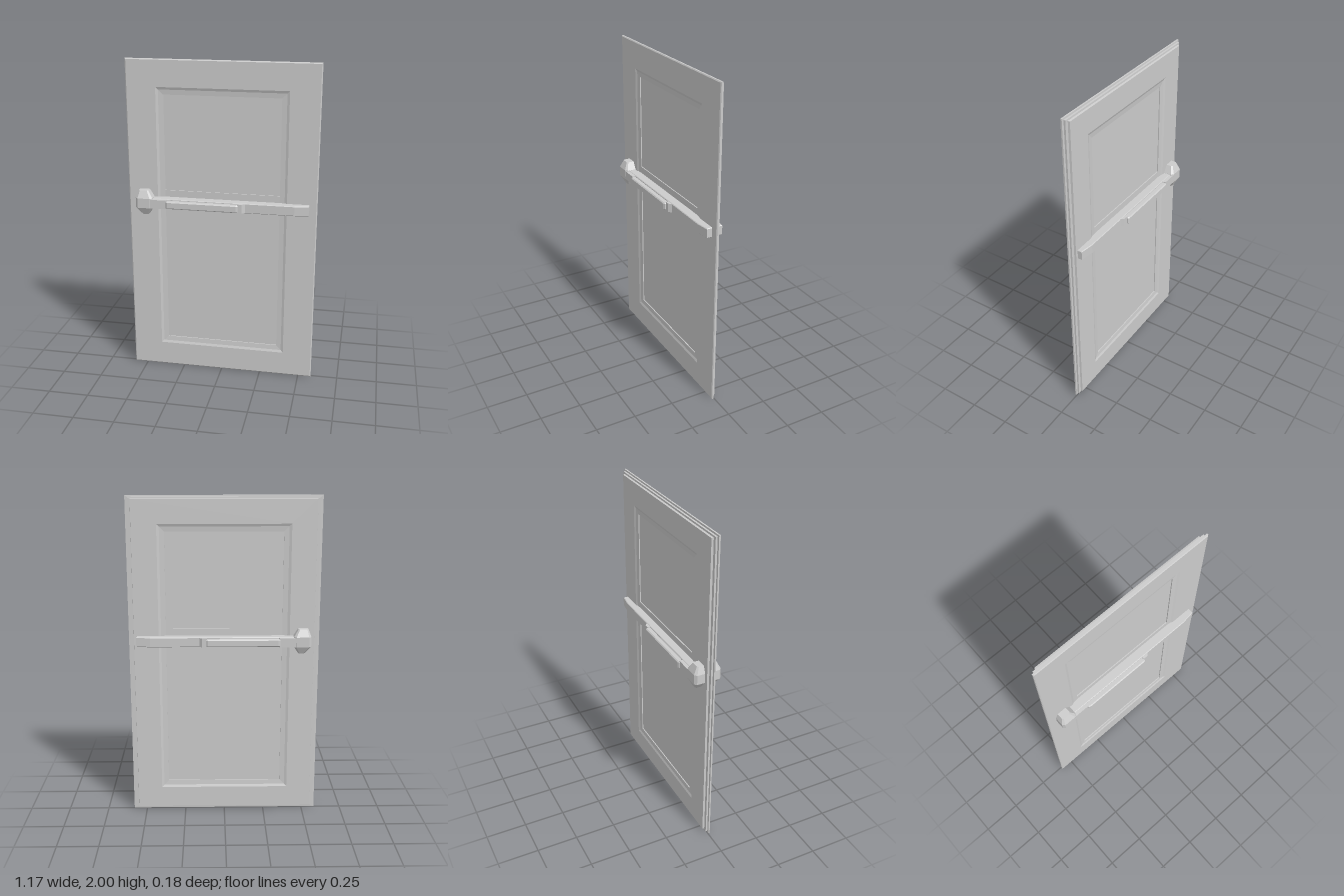
import * as THREE from 'three';

const material = new THREE.MeshStandardMaterial({ color: 0xcccccc, flatShading: true });

function add(group, name, geometry) {
  const mesh = new THREE.Mesh(geometry, material);
  mesh.name = name;
  group.add(mesh);
  return mesh;
}

// Skin a row of equal-length loops, each counter-clockwise seen from the first one
function loft(loops) {
  const pos = [];
  for (let k = 0; k < loops.length - 1; k++) {
    const p = loops[k], q = loops[k + 1], n = p.length;
    for (let i = 0; i < n; i++) {
      const j = (i + 1) % n;
      pos.push(...p[i], ...q[i], ...q[j], ...p[i], ...q[j], ...p[j]);
    }
  }
  const g = new THREE.BufferGeometry();
  g.setAttribute('position', new THREE.Float32BufferAttribute(pos, 3));
  g.computeVertexNormals();
  return g;
}

// Upright rectangle: half width, bottom, top, depth
const rect = ([w, b, t, z]) => [[-w, b, z], [w, b, z], [w, t, z], [-w, t, z]];

// Level rectangle with cut corners: height, x range, half depth, cut
function level([y, x0, x1, d, c]) {
  return [[x0, y, d - c], [x0 + c, y, d], [x1 - c, y, d], [x1, y, d - c],
    [x1, y, c - d], [x1 - c, y, -d], [x0 + c, y, -d], [x0, y, c - d]];
}

// Solid from levels, closed at top and bottom; listed from the top down
function solid(levels) {
  const loops = levels.map(level);
  const cap = ([y, x0, x1]) => Array(8).fill([(x0 + x1) / 2, y, 0]);
  return loft([cap(levels[0]), ...loops, cap(levels[levels.length - 1])]);
}

// Prism along y from an outline of [x, half depth] points, mirrored front to back
function prism(points, y0, y1, bevel) {
  const outline = [...points, ...points.slice().reverse().map(([x, d]) => [x, -d])];
  const shape = new THREE.Shape(outline.map(([x, z]) => new THREE.Vector2(x, z)));
  const g = new THREE.ExtrudeGeometry(shape, {
    depth: y1 - y0 - 2 * bevel, bevelEnabled: bevel > 0, bevelSegments: 1,
    bevelSize: bevel, bevelThickness: bevel, bevelOffset: -bevel,
  });
  g.rotateX(-Math.PI / 2);
  g.translate(0, y0 + bevel, 0);
  return g;
}

export function createModel() {
  const model = new THREE.Group();
  model.name = 'door';

  // Door frame: moulded opening, flat face, stepped rebate towards the back
  add(model, 'doorFrame', loft([
    [0.355, 0.2, 1.79, -0.003], [0.355, 0.2, 1.79, 0.007],
    [0.385, 0.17, 1.82, 0.01], [0.4, 0.155, 1.835, 0.016],
    [0.577, 0.006, 1.994, 0.016], [0.583, 0, 2, 0.012],
    [0.583, 0, 2, 0.003], [0.57, 0.01, 1.99, 0.002],
    [0.57, 0.01, 1.99, -0.009], [0.552, 0.02, 1.98, -0.01],
    [0.55, 0.022, 1.978, -0.022], [0.4, 0.155, 1.835, -0.022],
    [0.385, 0.17, 1.82, -0.016], [0.355, 0.2, 1.79, -0.013],
    [0.355, 0.2, 1.79, -0.003],
  ].map(rect)));

  // Rail between the two panes
  const rail = add(model, 'middleRail', new THREE.BoxGeometry(0.72, 0.16, 0.02));
  rail.position.set(0, 1.12, -0.003);

  // Panes
  for (const [name, b, t] of [['lowerPane', 0.19, 1.05], ['upperPane', 1.19, 1.8]]) {
    const pane = add(model, name, new THREE.BoxGeometry(0.73, t - b, 0.008));
    pane.position.set(0, (b + t) / 2, -0.003);
  }

  // Push bar: every part runs through the door and shows on both faces
  const bar = new THREE.Group();
  bar.name = 'pushBar';
  model.add(bar);
  add(bar, 'barBody', prism([[-0.44, 0.062], [0.45, 0.062], [0.535, 0.05]], 1.097, 1.158, 0.004));
  add(bar, 'gripMount', prism([[-0.45, 0.083], [-0.335, 0.083], [-0.33, 0.06]], 1.1, 1.155, 0));
  add(bar, 'gripStop', prism([[0.105, 0.078], [0.135, 0.078], [0.152, 0.062]], 1.1, 1.155, 0));
  add(bar, 'grip', prism([[-0.338, 0.085], [-0.325, 0.092], [0.1, 0.092], [0.112, 0.086]], 1.104, 1.15, 0.006));

  // End housing with sloped top and bottom
  add(bar, 'endHousing', solid([
    [1.205, -0.51, -0.45, 0.062, 0.008],
    [1.16, -0.527, -0.422, 0.085, 0.014],
    [1.1, -0.527, -0.422, 0.085, 0.014],
    [1.055, -0.49, -0.45, 0.062, 0.008],
  ]));
  return model;
}
